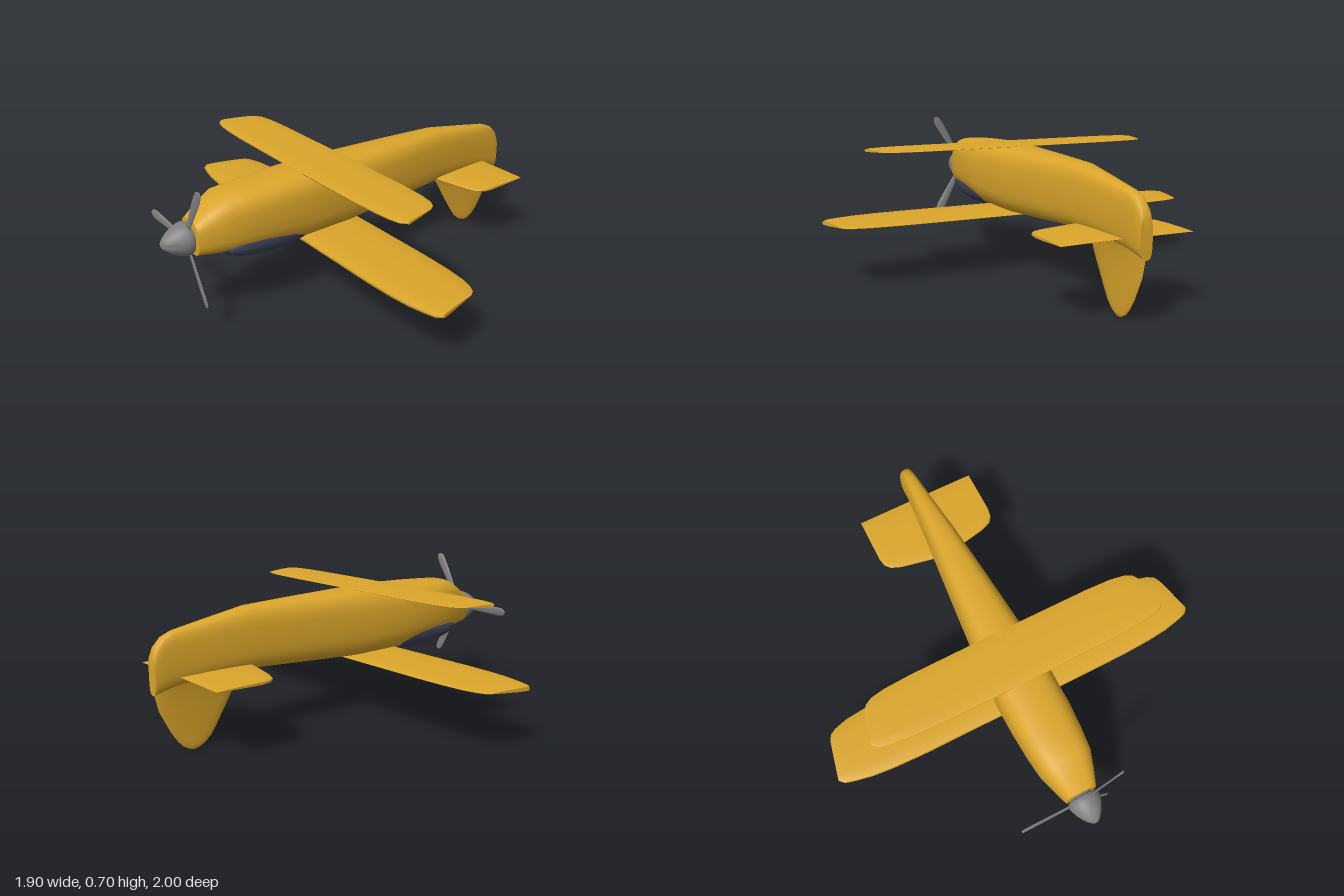
import * as THREE from 'three';
import { toCreasedNormals } from 'three/addons/utils/BufferGeometryUtils.js';

const paint = new THREE.MeshStandardMaterial({ color: 0xdaa52a });
const glass = new THREE.MeshStandardMaterial({ color: 0x3c4056 });
const metal = new THREE.MeshStandardMaterial({ color: 0x808080 });

// Skin a list of closed rings and cap both ends
function loft(rings, crease = 0.6) {
  const n = rings[0].length, pos = [], idx = [];
  rings.forEach(r => r.forEach(p => pos.push(...p)));
  for (let i = 0; i < rings.length - 1; i++) {
    for (let j = 0; j < n; j++) {
      const a = i * n + j, b = i * n + (j + 1) % n;
      idx.push(a, b, b + n, a, b + n, a + n);
    }
  }
  [0, rings.length - 1].forEach(i => {
    const c = pos.length / 3;
    for (let k = 0; k < 3; k++) pos.push(rings[i].reduce((s, p) => s + p[k], 0) / n);
    for (let j = 0; j < n; j++) {
      const a = i * n + j, b = i * n + (j + 1) % n;
      idx.push(...(i ? [a, b, c] : [b, a, c]));
    }
  });
  // Turn the skin outward if the rings ran the other way
  const P = i => new THREE.Vector3().fromArray(pos, i * 3);
  let volume = 0;
  for (let i = 0; i < idx.length; i += 3) volume += P(idx[i]).dot(P(idx[i + 1]).cross(P(idx[i + 2])));
  if (volume < 0) idx.reverse();
  const g = new THREE.BufferGeometry();
  g.setAttribute('position', new THREE.Float32BufferAttribute(pos, 3));
  g.setIndex(idx);
  return toCreasedNormals(g, crease);
}

// Superellipse outline: n = 2 is an ellipse, larger n is squarer
function outline(halfW, halfH, n, count = 28) {
  return Array.from({ length: count }, (_, i) => {
    const a = (i / count) * Math.PI * 2, c = Math.cos(a), s = Math.sin(a);
    return [Math.sign(c) * Math.abs(c) ** (2 / n) * halfW, Math.sign(s) * Math.abs(s) ** (2 / n) * halfH];
  });
}

// Body along z from stations [z, half width, top, bottom]
function body(stations, n) {
  return loft(stations.map(([z, w, top, bottom]) =>
    outline(w, (top - bottom) / 2, n).map(([x, y]) => [x, y + (top + bottom) / 2, z])));
}

// Wing section [chord fraction from the front, height fraction]
const airfoil = [[0, 0.5], [0.012, 0.8], [0.05, 0.95], [0.2, 1], [0.5, 0.98], [0.8, 0.88], [0.99, 0.78], [1, 0.74],
  [0.99, 0.66], [0.7, 0.42], [0.3, 0.12], [0.05, 0.02], [0.012, 0.16]];

// Full span wing from half stations [x front, z front, x rear, z rear, thickness scale]
function wing(half, y0, y1) {
  const mirrored = half.slice(1).reverse().map(([a, b, c, d, t]) => [-a, b, -c, d, t]);
  return loft([...mirrored, ...half].map(([xf, zf, xr, zr, t]) => airfoil.map(([c, h]) =>
    [xf + (xr - xf) * c, (y0 + y1) / 2 + (h - 0.5) * (y1 - y0) * t, zf + (zr - zf) * c])));
}

export function createModel() {
  const model = new THREE.Group();
  const add = (name, geometry, material, parent = model) => {
    const m = new THREE.Mesh(geometry, material);
    m.name = name;
    parent.add(m);
    return m;
  };

  // Fuselage
  add('fuselage', body([
    [0.86, 0.075, 0.51, 0.35], [0.79, 0.1, 0.555, 0.342], [0.71, 0.125, 0.597, 0.333], [0.6, 0.137, 0.603, 0.325],
    [0.48, 0.144, 0.609, 0.315], [0.33, 0.145, 0.614, 0.29], [0.06, 0.128, 0.614, 0.285], [-0.25, 0.1, 0.608, 0.302],
    [-0.53, 0.073, 0.6, 0.318], [-0.75, 0.051, 0.565, 0.315], [-0.9, 0.037, 0.54, 0.3], [-0.95, 0.034, 0.52, 0.29],
    [-0.985, 0.031, 0.485, 0.28], [-1, 0.028, 0.45, 0.275],
  ], 3.2), paint);

  // Glazed cockpit cover beneath the nose
  add('canopy', body([
    [0.745, 0.085, 0.385, 0.345], [0.72, 0.113, 0.4, 0.315], [0.66, 0.124, 0.42, 0.29], [0.58, 0.13, 0.43, 0.274],
    [0.48, 0.13, 0.43, 0.267], [0.4, 0.126, 0.42, 0.27], [0.34, 0.115, 0.4, 0.278],
  ], 2.2), glass);

  // Wings
  add('lowerWing', wing([
    [0, 0.34, 0, 0, 1], [0.55, 0.338, 0.55, 0, 1], [0.7, 0.332, 0.7, 0.005, 1], [0.8, 0.322, 0.8, 0.015, 0.95],
    [0.88, 0.306, 0.865, 0.033, 0.85], [0.93, 0.292, 0.895, 0.05, 0.75], [0.952, 0.27, 0.91, 0.075, 0.6],
  ], 0.264, 0.296), paint);
  add('upperWing', wing([
    [0, 0.33, 0, 0.058, 1], [0.45, 0.326, 0.45, 0.06, 1], [0.58, 0.32, 0.58, 0.066, 1],
    [0.66, 0.312, 0.65, 0.078, 0.95], [0.71, 0.3, 0.685, 0.097, 0.85], [0.738, 0.275, 0.703, 0.125, 0.7],
  ], 0.599, 0.617), paint);

  // Tailplane
  add('tailplane', wing([
    [0, -0.525, 0, -0.886, 1.2], [0.08, -0.537, 0.08, -0.886, 1.1], [0.23, -0.568, 0.23, -0.886, 0.9],
    [0.28, -0.588, 0.28, -0.886, 0.8], [0.302, -0.615, 0.302, -0.886, 0.7], [0.31, -0.655, 0.31, -0.885, 0.6],
  ], 0.325, 0.346), paint);

  // Hanging fin, from stations [y, z front, z rear, half width]
  add('fin', loft([
    [0.4, -0.6, -0.99, 0.03], [0.34, -0.53, -0.998, 0.03], [0.31, -0.56, -0.999, 0.022], [0.28, -0.583, -0.996, 0.017],
    [0.2, -0.628, -0.977, 0.012], [0.1, -0.69, -0.927, 0.009], [0.05, -0.723, -0.894, 0.008],
    [0.02, -0.755, -0.867, 0.007], [0.005, -0.785, -0.84, 0.006], [0, -0.802, -0.823, 0.004],
  ].map(([y, zf, zr, w]) => outline(w, (zf - zr) / 2, 2, 20).map(([x, z]) => [x, y, z + (zf + zr) / 2]))), paint);

  // Propeller: spinner and three blades
  const propeller = new THREE.Group();
  propeller.name = 'propeller';
  propeller.position.set(0, 0.43, 0.885);
  model.add(propeller);

  const nose = [[0, -0.035], [0.048, -0.035], [0.052, -0.018], [0.072, -0.012], [0.077, 0], [0.074, 0.02], [0.064, 0.047],
    [0.048, 0.075], [0.03, 0.098], [0.014, 0.112], [0, 0.115]].map(p => new THREE.Vector2(...p));
  const spinner = toCreasedNormals(new THREE.LatheGeometry(nose, 32), 0.7);
  add('spinner', spinner.rotateX(Math.PI / 2), metal, propeller);

  const blade = loft([
    [0.03, 0.012, 0], [0.09, 0.013, 0], [0.15, 0.017, -0.001], [0.21, 0.021, -0.002], [0.265, 0.023, -0.003],
    [0.295, 0.02, -0.003], [0.308, 0.013, -0.003], [0.313, 0.005, -0.003],
  ].map(([r, w, shift]) => outline(w, 0.005, 2, 14).map(([y, z]) => [r, y + shift, z + y * 0.12])));
  for (let i = 0; i < 3; i++) {
    add('blade', blade, metal, propeller).rotation.z = Math.PI / 3 + (i * 2 * Math.PI) / 3;
  }

  return model;
}
